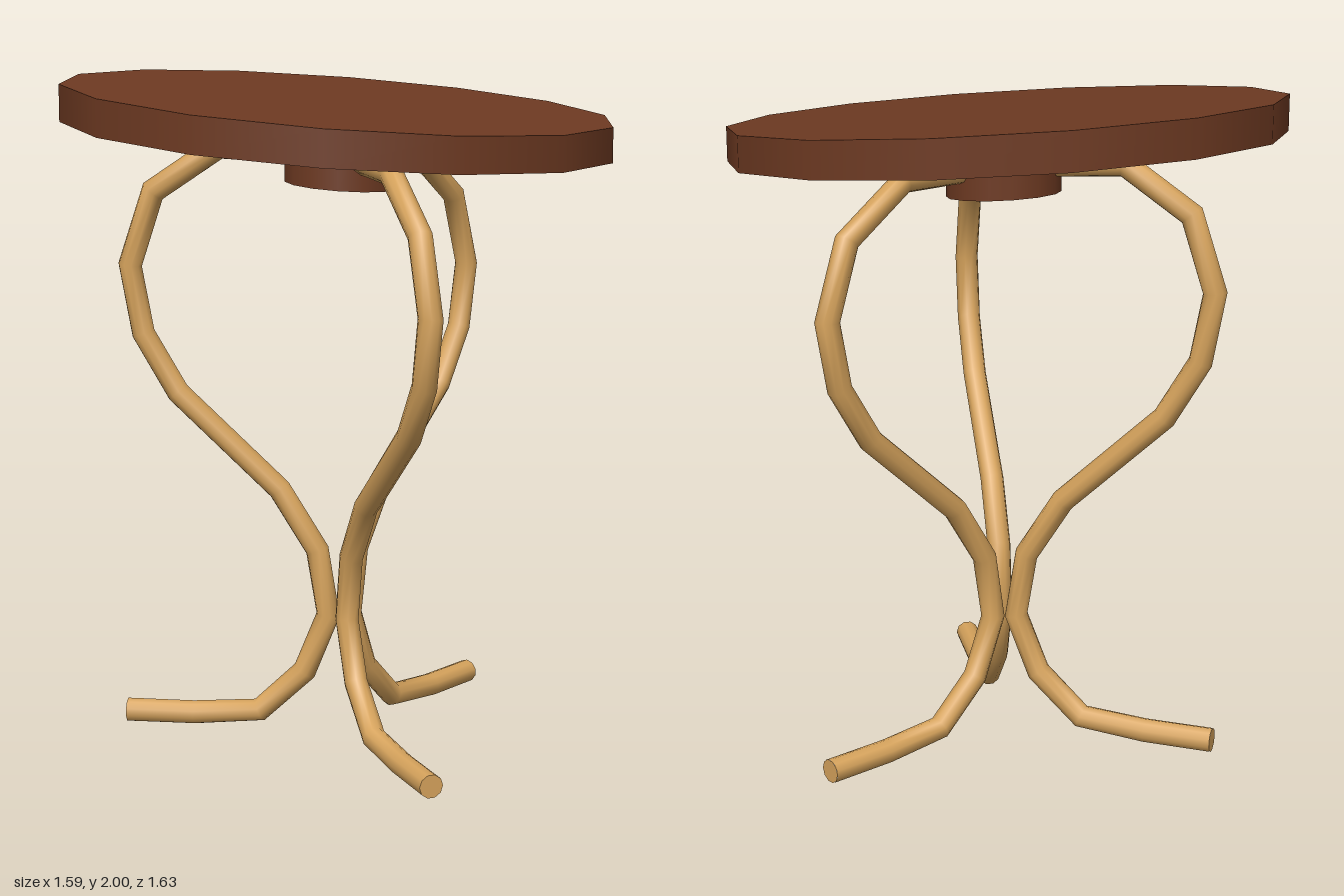
import * as THREE from 'three';

// Leans the table: heights shrink towards +x and +z, feet stay flat on the floor
const LEAN_X = -0.023, LEAN_Z = -0.045;

function lean(geometry) {
  const p = geometry.attributes.position, n = geometry.attributes.normal;
  const v = new THREE.Vector3();
  for (let i = 0; i < p.count; i++) {
    const y = p.getY(i);
    const s = 1 + LEAN_X * p.getX(i) + LEAN_Z * p.getZ(i);
    const ny = n.getY(i) / s;
    v.set(n.getX(i) - y * LEAN_X * ny, ny, n.getZ(i) - y * LEAN_Z * ny).normalize();
    p.setY(i, y * s);
    n.setXYZ(i, v.x, v.y, v.z);
  }
  return geometry;
}

// Straight pieces between points, with mitred joints
class BentRod extends THREE.Curve {
  constructor(points) {
    super();
    this.points = points;
  }
  getPoint(t, target = new THREE.Vector3()) {
    const f = t * (this.points.length - 1);
    const i = Math.min(Math.floor(f + 1e-6), this.points.length - 2);
    return target.lerpVectors(this.points[i], this.points[i + 1], f - i);
  }
  getPointAt(t, target) {
    return this.getPoint(t, target);
  }
  getTangentAt(t, target = new THREE.Vector3()) {
    const last = this.points.length - 1, i = Math.round(t * last);
    const dir = (a, b) => this.points[b].clone().sub(this.points[a]).normalize();
    target.set(0, 0, 0);
    if (i > 0) target.add(dir(i - 1, i));
    if (i < last) target.add(dir(i, i + 1));
    return target.normalize();
  }
}

// Leg centre line: distance from the axis, height
const LEG = [
  [0.67, 0.037], [0.46, 0.038], [0.255, 0.055], [0.115, 0.185], [0.042, 0.365],
  [0.075, 0.565], [0.19, 0.745], [0.5, 1.02], [0.605, 1.19], [0.643, 1.39],
  [0.57, 1.61], [0.37, 1.755], [0.13, 1.76],
];
const ROD = 0.036, SIDES = 10;

export function createModel() {
  const darkWood = new THREE.MeshStandardMaterial({ color: 0x6e3a22 });
  darkWood.name = 'darkWood';
  const lightWood = new THREE.MeshStandardMaterial({ color: 0xd6a35c });
  lightWood.name = 'lightWood';

  const table = new THREE.Group();
  table.name = 'table';
  const add = (parent, name, geometry, material) => {
    const mesh = new THREE.Mesh(lean(geometry), material);
    mesh.name = name;
    parent.add(mesh);
  };

  // Round top
  const top = new THREE.CylinderGeometry(0.813, 0.813, 0.105, 14);
  top.rotateY(0.02).translate(0.003, 1.8675, 0);
  add(table, 'tableTop', top, darkWood);

  // Hub joining the legs to the top
  const hub = new THREE.CylinderGeometry(0.169, 0.169, 0.16, 14);
  hub.translate(0.01, 1.755, 0.012);
  add(table, 'hub', hub, darkWood);

  // Three curved legs with closed ends
  ['frontLeg', 'backLeftLeg', 'backRightLeg'].forEach((name, k) => {
    const a = k * Math.PI * 2 / 3;
    const points = LEG.map(([r, y]) =>
      new THREE.Vector3(0.012 + r * Math.sin(a), y, 0.01 + r * Math.cos(a)));
    const path = new BentRod(points);
    const leg = new THREE.Group();
    leg.name = name;
    add(leg, 'rod', new THREE.TubeGeometry(path, LEG.length - 1, ROD, SIDES), lightWood);
    for (const t of [0, 1]) {
      const out = path.getTangentAt(t).multiplyScalar(t ? 1 : -1);
      const q = new THREE.Quaternion().setFromUnitVectors(new THREE.Vector3(0, 0, 1), out);
      const cap = new THREE.CircleGeometry(ROD, SIDES).applyQuaternion(q);
      const c = path.getPoint(t);
      add(leg, t ? 'topEnd' : 'footEnd', cap.translate(c.x, c.y, c.z), lightWood);
    }
    table.add(leg);
  });

  return table;
}
